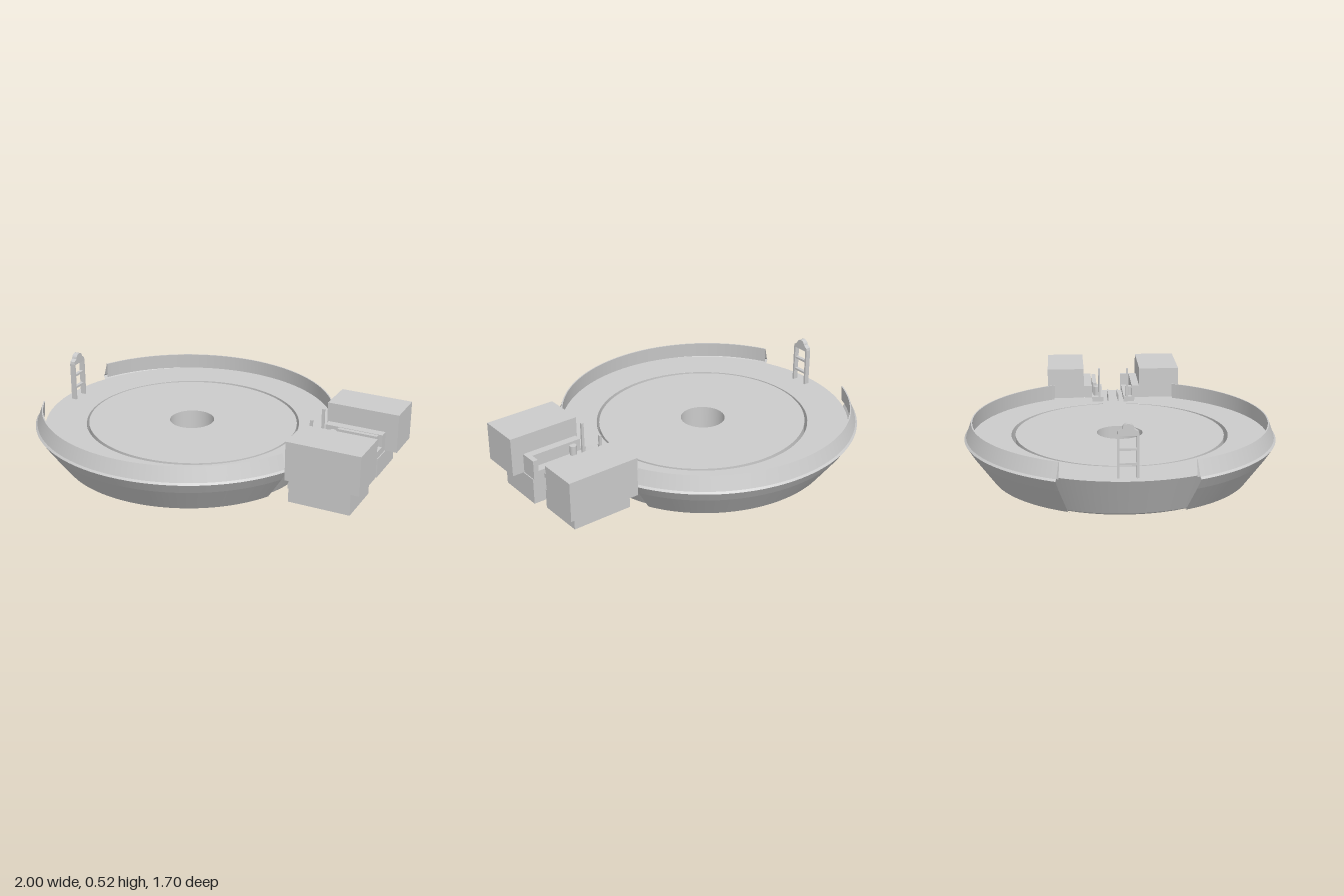
import * as THREE from 'three';

const material = new THREE.MeshStandardMaterial({ color: 0xcccccc });
const thinMaterial = new THREE.MeshStandardMaterial({ color: 0xcccccc, side: THREE.DoubleSide });
const CX = -0.19, DECK = 0.25;

export function createModel() {
  const model = new THREE.Group();

  const add = (name, geometry, mat = material) => {
    const mesh = new THREE.Mesh(geometry, mat);
    mesh.name = name;
    model.add(mesh);
    return mesh;
  };
  // box given by its extents along each axis
  const box = (name, x0, x1, y0, y1, z0, z1) => {
    const g = new THREE.BoxGeometry(x1 - x0, y1 - y0, z1 - z0);
    return add(name, g.translate((x0 + x1) / 2, (y0 + y1) / 2, (z0 + z1) / 2));
  };
  // each straight step of the profile is its own lathe, so bands meet at crisp edges
  const bands = (name, profile, start, length, stretchX = 1, cx = CX) => {
    for (let i = 0; i + 1 < profile.length; i++) {
      const pts = [profile[i], profile[i + 1]].map(p => new THREE.Vector2(...p));
      const g = new THREE.LatheGeometry(pts, 64, start, length);
      add(name, g.scale(stretchX, 1, 1).translate(cx, 0, 0), thinMaterial);
    }
  };
  const flat = (shape, y) => new THREE.ShapeGeometry(shape, 48).rotateX(-Math.PI / 2).translate(0, y, 0);

  // inner hull, open where the dock enters on the left side
  const mouth = 0.165;
  bands('innerHull', [[0.595, 0.06], [0.6, 0.025], [0.66, 0.025], [0.7, 0.045], [0.81, DECK]],
    Math.PI / 2 + mouth, Math.PI * 2 - mouth * 2);
  bands('deckWell', [[0.595, DECK], [0.595, 0.05]], Math.PI / 2 + mouth, Math.PI * 2 - mouth * 2, 1.02, -0.16);

  // outer hull plates and leaning rim wall on the front and back
  for (const middle of [0, Math.PI]) {
    const gapRight = 0.43, gapLeft = 0.46;
    const start = middle === 0 ? -Math.PI / 2 + gapRight : Math.PI / 2 + gapLeft;
    const length = Math.PI - gapRight - gapLeft;
    bands('hullPlate', [[0.66, 0.025], [0.705, 0.045], [0.81, 0.19], [0.848, 0.25], [0.838, 0.26]],
      start, length, 1.03);
    bands('rimWall', [[0.838, 0.26], [0.81, 0.34], [0.803, 0.34], [0.81, DECK]], start, length, 1.03);
  }

  // ring deck, trimmed straight at the dock with a notch
  const deck = new THREE.Shape();
  const cut = 0.35, notch = 0.13;
  deck.moveTo(0.59, cut);
  const a0 = Math.atan2(cut / 0.81, (0.59 - CX) / 0.865);
  const steps = 72;
  for (let i = 0; i <= steps; i++) {
    const a = a0 + (i / steps) * (Math.PI * 2 - a0 * 2);
    const rx = Math.cos(a) < 0 ? 0.81 : 0.865;
    deck.lineTo(Math.min(0.59, CX + rx * Math.cos(a)), 0.815 * Math.sin(a));
  }
  deck.lineTo(0.59, -notch);
  deck.lineTo(0.49, -notch);
  deck.lineTo(0.49, notch);
  deck.lineTo(0.59, notch);
  const opening = new THREE.Path();
  opening.absellipse(-0.16, 0, 0.609, 0.595, 0, Math.PI * 2, true);
  deck.holes.push(opening);
  add('ringDeck', flat(deck, DECK), thinMaterial);

  // central platform with a deep hub well
  const disc = new THREE.Shape();
  disc.absellipse(-0.16, 0, 0.597, 0.573, 0, Math.PI * 2);
  const hole = new THREE.Path();
  hole.absarc(-0.165, 0, 0.126, 0, Math.PI * 2, true);
  disc.holes.push(hole);
  add('platformTop', flat(disc, DECK), thinMaterial);
  add('platformBottom', flat(disc, 0.05), thinMaterial);
  bands('platformSide', [[0.573, 0.05], [0.573, DECK]], 0, Math.PI * 2, 1.042, -0.16);
  bands('hubWell', [[0, 0.016], [0.126, 0.016], [0.126, DECK]], 0, Math.PI * 2, 1, -0.165);

  // dock blocks at the front and back of the entrance
  box('frontUpperBlock', 0.59, 1, 0.21, 0.43, 0.16, 0.4);
  box('frontLowerBlock', 0.59, 0.935, 0.06, 0.21, 0.065, 0.345);
  box('frontInnerBlock', 0.6, 0.93, 0.21, 0.32, 0.115, 0.16);
  box('frontInnerEnd', 0.9, 0.93, 0.21, 0.32, 0.06, 0.115);
  box('frontInnerFloor', 0.6, 0.9, 0.21, 0.25, 0.065, 0.115);
  box('backUpperBlock', 0.59, 1, 0.21, 0.43, -0.4, -0.18);
  box('backLowerBlock', 0.59, 0.935, 0.1, 0.21, -0.325, -0.06);
  box('backInnerBlock', 0.6, 0.93, 0.21, 0.32, -0.18, -0.13);
  box('backInnerWall', 0.68, 0.91, 0.21, 0.32, -0.125, -0.1);
  box('backInnerFloor', 0.6, 0.93, 0.21, 0.25, -0.13, -0.06);

  // entrance floor and supports
  box('walkway', 0.5, 0.865, 0.2, 0.225, -0.065, 0.065);
  box('notchFloor', 0.47, 0.6, 0.17, 0.2, -0.135, 0.14);
  box('backSupport', 0.555, 0.72, 0.005, 0.15, -0.13, -0.03);
  box('frontSupport', 0.5, 0.64, 0.025, 0.2, 0.03, 0.145);
  box('middleSupport', 0.46, 0.58, 0.03, 0.2, -0.05, 0.05);
  for (const s of [-1, 1]) {
    box('railing', 0.56, 0.7, 0.235, 0.275, s * 0.03 - 0.004, s * 0.03 + 0.004);
    box('post', 0.595, 0.61, 0.22, 0.43, s * 0.085 - 0.006, s * 0.085 + 0.006);
    const knob = add('knob', new THREE.CylinderGeometry(0.02, 0.02, 0.07, 16));
    knob.position.set(0.655, 0.27, s * 0.1);
  }

  // ladder with an arched head
  for (const s of [-1, 1]) box('ladderPost', -0.95, -0.92, DECK, 0.47, s * 0.048 - 0.006, s * 0.048 + 0.006);
  for (const y of [0.32, 0.395]) box('ladderRung', -0.945, -0.925, y - 0.006, y + 0.006, -0.045, 0.045);
  const head = new THREE.Shape();
  head.moveTo(-0.054, 0.465);
  head.lineTo(0.054, 0.465);
  head.lineTo(0.05, 0.485);
  head.lineTo(0.03, 0.5);
  head.absarc(0, 0.495, 0.03, 0.1, Math.PI - 0.1, false);
  head.lineTo(-0.05, 0.485);
  const headGeometry = new THREE.ExtrudeGeometry(head, { depth: 0.03, bevelEnabled: false });
  add('ladderHead', headGeometry.rotateY(Math.PI / 2).translate(-0.95, 0, 0));

  return model;
}
